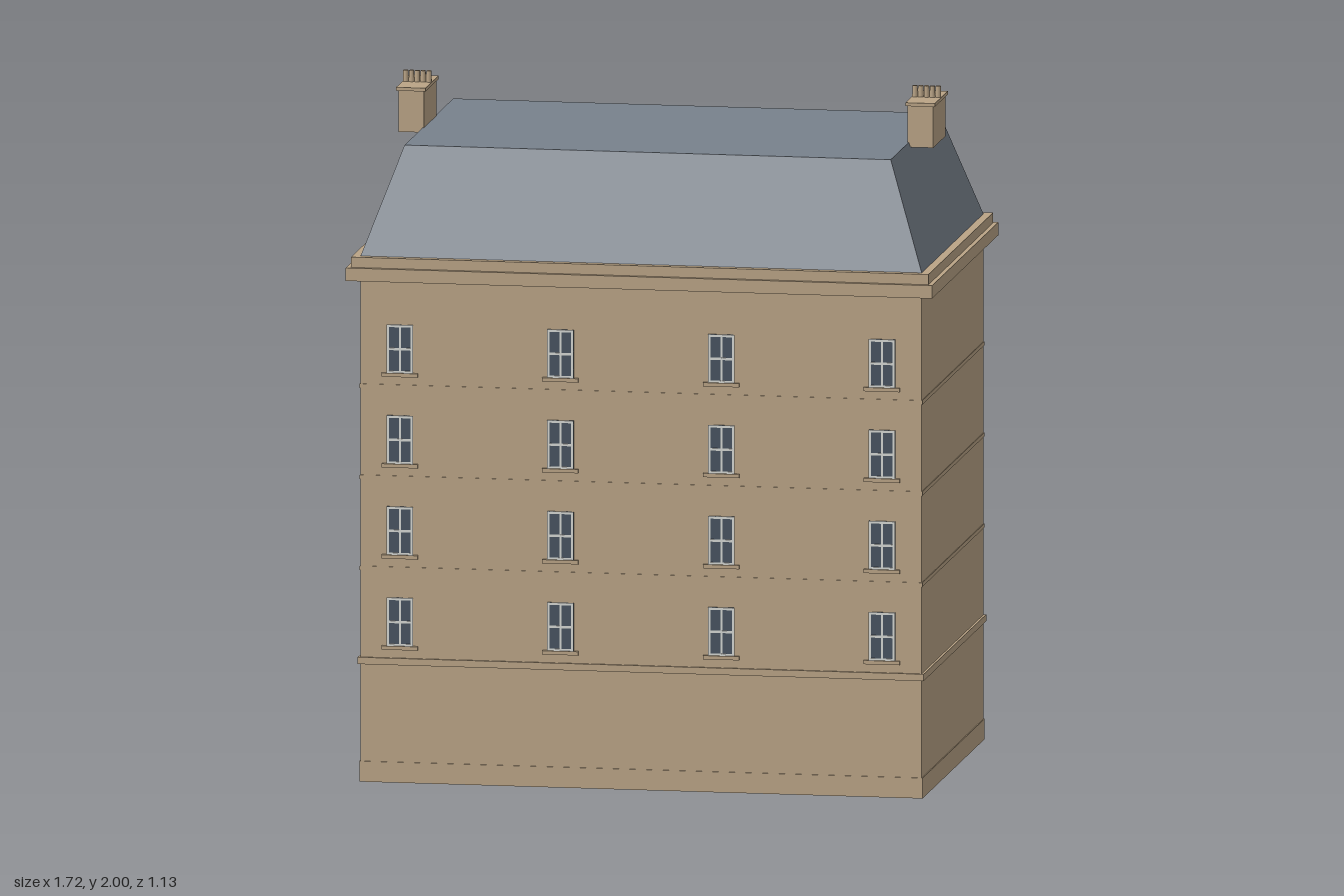
import * as THREE from 'three';

const mat = (name, color) => {
  const m = new THREE.MeshStandardMaterial({ color });
  m.name = name;
  return m;
};

export function createModel() {
  const stone = mat('sandstone', 0xbaa486);
  const slate = mat('slate', 0x78818c);
  const glass = mat('window glass', 0x465260);
  const white = mat('painted frame', 0xd6d8d4);
  const paint = mat('door paint', 0x66717f);

  const root = new THREE.Group();
  root.name = 'townhouse';
  const MID = 0.02, HX = 0.823, HZ = 0.51; // body centre in z and half sizes

  const add = (parent, name, geo, material, x = 0, y = 0, z = 0) => {
    const m = new THREE.Mesh(geo, material);
    m.name = name;
    m.position.set(x, y, z);
    parent.add(m);
    return m;
  };
  // Box standing on y0 with its back on z0
  const slab = (parent, name, material, w, y0, y1, d, x = 0, z0 = 0) =>
    add(parent, name, new THREE.BoxGeometry(w, y1 - y0, d), material, x, (y0 + y1) / 2, z0 + d / 2);
  // Layer wrapped round the whole body
  const layer = (name, y0, y1, out) =>
    slab(root, name, stone, 2 * (HX + out), y0, y1, 2 * (HZ + out), 0, MID - HZ - out);

  // Walls, plinth, string courses and cornice
  layer('walls', 0, 1.5, 0);
  layer('plinth', 0, 0.06, 0.003);
  layer('mainStringCourse', 0.345, 0.365, 0.007);
  for (const y of [0.62, 0.887, 1.154]) layer('floorBand', y, y + 0.012, 0.002);
  layer('lowerCornice', 1.472, 1.51, 0.037);
  layer('upperCornice', 1.51, 1.54, 0.024);

  // Mansard roof: a box whose top is drawn in
  const roof = new THREE.BoxGeometry(2 * HX, 0.31, 2 * HZ);
  const p = roof.attributes.position;
  for (let i = 0; i < p.count; i++) {
    if (p.getY(i) > 0) {
      p.setX(i, Math.sign(p.getX(i)) * 0.713);
      p.setZ(i, Math.sign(p.getZ(i)) * 0.402);
    }
  }
  roof.computeVertexNormals();
  add(root, 'mansardRoof', roof, slate, 0, 1.695, MID);

  // Chimneys with a row of pots
  for (const s of [-1, 1]) {
    const c = new THREE.Group();
    c.name = 'chimney';
    c.position.set(s * 0.747, 0, MID);
    root.add(c);
    slab(c, 'chimneyStack', stone, 0.075, 1.836, 1.957, 0.206, 0, -0.103);
    slab(c, 'chimneyCap', stone, 0.086, 1.957, 1.967, 0.216, 0, -0.108);
    for (let i = -2; i <= 2; i++)
      add(c, 'chimneyPot', new THREE.CylinderGeometry(0.0075, 0.0085, 0.034, 10), stone, i * 0.017, 1.983, 0);
  }

  // Sash window facing +z, standing on its sill at y = 0
  const makeWindow = (parent, x, y, z, w, h, rows) => {
    const g = new THREE.Group();
    g.name = 'window';
    g.position.set(x, y, z);
    parent.add(g);
    const t = 0.007;
    slab(g, 'glass', glass, w, 0, h, 0.003);
    for (const s of [-1, 1]) slab(g, 'frameSide', white, t, 0, h, 0.006, s * (w - t) / 2);
    slab(g, 'mullion', white, 0.006, t, h - t, 0.005);
    for (let i = 0; i <= rows; i++) {
      const yc = t / 2 + (i / rows) * (h - t);
      slab(g, 'frameRail', white, w - 2 * t, yc - t / 2, yc + t / 2, 0.0055);
    }
    return g;
  };
  const sill = (g, w) => slab(g, 'sill', stone, w, -0.01, 0.001, 0.011);

  // Garden side: four plain windows on each upper floor
  const floors = [0.4, 0.667, 0.934, 1.2];
  for (const y of floors)
    for (const x of [-0.707, -0.236, 0.236, 0.707])
      sill(makeWindow(root, x, y, MID + HZ, 0.077, 0.142, 2), 0.106);

  // Street side, modelled facing +z and turned round
  const street = new THREE.Group();
  street.name = 'streetFacade';
  street.rotation.y = Math.PI;
  street.position.z = MID - HZ;
  root.add(street);

  const triangle = (w, h, d) => {
    const s = new THREE.Shape([[-w / 2, 0], [w / 2, 0], [0, h]].map(a => new THREE.Vector2(...a)));
    return new THREE.ExtrudeGeometry(s, { depth: d, bevelEnabled: false });
  };

  // Upper windows with architraves, hoods and first floor pediments
  const bays = [-3, -2, -1, 0, 1, 2, 3].map(i => i * 0.235);
  floors.forEach((y, row) => {
    for (const x of bays) {
      const g = makeWindow(street, x, y, 0, 0.077, 0.145, 2);
      sill(g, 0.115);
      for (const s of [-1, 1]) slab(g, 'architraveSide', stone, 0.014, 0, 0.16, 0.006, s * 0.0455);
      slab(g, 'architraveHead', stone, 0.105, 0.145, 0.162, 0.006);
      if (row === 0) {
        slab(g, 'pedimentLedge', stone, 0.13, 0.178, 0.187, 0.014);
        add(g, 'pediment', triangle(0.13, 0.03, 0.013), stone, 0, 0.187, 0);
      } else {
        slab(g, 'hood', stone, 0.118, 0.162, 0.176, row === 1 ? 0.013 : 0.009);
      }
    }
  });

  // Rusticated ground floor courses, broken by the doorway
  for (let i = 0; i < 7; i++) {
    const y = 0.064 + i * 0.04;
    for (const s of [-1, 1]) slab(street, 'rusticCourse', stone, HX - 0.068, y, y + 0.035, 0.003, s * (HX + 0.068) / 2);
  }
  slab(street, 'doorLintelCourse', stone, 0.136, 0.304, 0.339, 0.003);

  // Ground floor windows with keystones
  for (const x of bays.filter(b => b !== 0)) {
    const g = makeWindow(street, x, 0.115, 0.003, 0.085, 0.17, 3);
    sill(g, 0.105);
    slab(g, 'windowHead', stone, 0.1, 0.17, 0.185, 0.005);
    const key = add(g, 'keystone', new THREE.CylinderGeometry(0.019, 0.012, 0.04, 4, 1, false, Math.PI / 4), stone, 0, 0.19, 0);
    key.scale.z = 0.7;
  }

  // Front door with transom light
  slab(street, 'door', paint, 0.1, 0.06, 0.26, 0.004);
  slab(street, 'transomGlass', glass, 0.1, 0.26, 0.288, 0.004);
  for (let i = -2; i <= 2; i++) slab(street, 'transomBar', white, 0.004, 0.262, 0.288, 0.006, i * 0.024);
  slab(street, 'transomRail', white, 0.1, 0.256, 0.262, 0.006);
  for (const s of [-1, 1]) slab(street, 'doorJamb', stone, 0.018, 0.06, 0.304, 0.008, s * 0.059);
  slab(street, 'doorHead', stone, 0.136, 0.288, 0.306, 0.01);

  // Entrance steps
  [[0.166, 0.024, 0.037, 0.075], [0.15, 0.037, 0.048, 0.052], [0.134, 0.048, 0.06, 0.03]]
    .forEach(([w, y0, y1, d]) => slab(street, 'entranceStep', stone, w, y0, y1, d));

  // Dormers set into the street slope
  for (const x of [-0.47, 0, 0.47]) {
    const d = new THREE.Group();
    d.name = 'dormer';
    d.position.set(x, 0, -0.09);
    street.add(d);
    slab(d, 'dormerBody', stone, 0.108, 1.592, 1.722, 0.072);
    add(d, 'dormerRoof', triangle(0.147, 0.057, 0.083), slate, 0, 1.72, 0);
    sill(makeWindow(d, 0, 1.607, 0.072, 0.07, 0.1, 2), 0.09);
  }

  return root;
}
